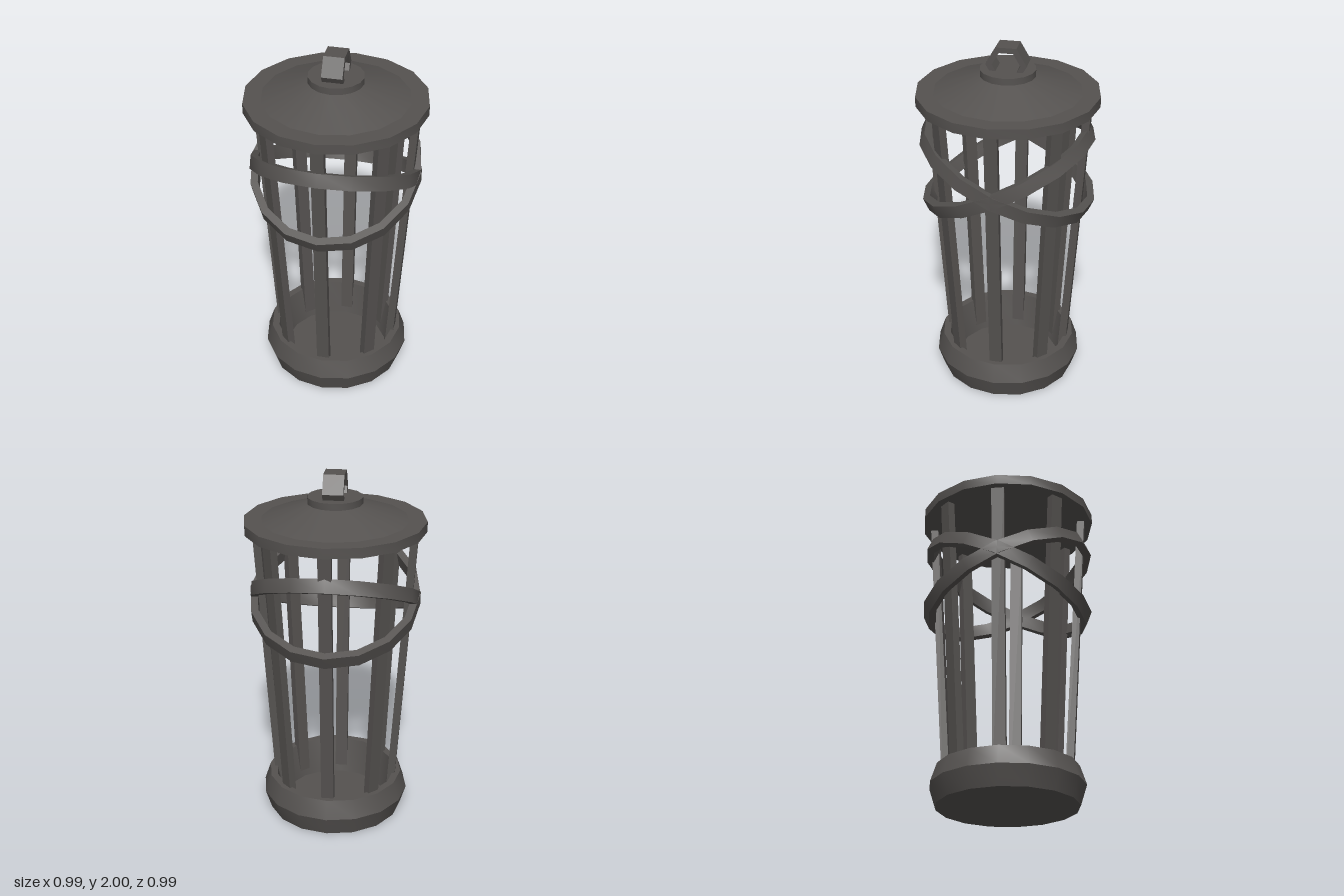
import * as THREE from 'three';
import { toCreasedNormals } from 'three/addons/utils/BufferGeometryUtils.js';

const iron = new THREE.MeshStandardMaterial({ color: 0x555250 });
iron.name = 'dark iron';

// Turned part from [radius, height] pairs, listed up the outside
function turned(name, profile, sides = 16) {
  const points = profile.map(([r, y]) => new THREE.Vector2(r, y));
  const geometry = toCreasedNormals(new THREE.LatheGeometry(points, sides), Math.PI / 6);
  const mesh = new THREE.Mesh(geometry, iron);
  mesh.name = name;
  return mesh;
}

// Closed band with a rectangular section
function band(name, inner, outer, height, sides) {
  const h = height / 2;
  return turned(name, [[inner, -h], [outer, -h], [outer, h], [inner, h], [inner, -h]], sides);
}

export function createModel() {
  const lantern = new THREE.Group();
  lantern.name = 'cageLantern';

  // Hollow base dish
  lantern.add(turned('base', [
    [0, 0], [0.385, 0], [0.42, 0.11], [0.385, 0.215], [0.345, 0.215], [0.3, 0.01], [0, 0.01],
  ]));

  // Roof: flat rim, shallow cone and collar
  lantern.add(
    turned('roofRim', [[0, 1.69], [0.495, 1.69], [0.495, 1.745], [0, 1.745]]),
    turned('roofCone', [[0.4, 1.745], [0.15, 1.833]]),
    turned('roofCollar', [[0.15, 1.82], [0.15, 1.87], [0, 1.87]]),
  );

  // Eight bars leaning outwards
  const bars = new THREE.Group();
  bars.name = 'bars';
  const barGeometry = new THREE.BoxGeometry(0.07, 1.654, 0.042);
  for (let i = 0; i < 8; i++) {
    const pivot = new THREE.Group();
    pivot.name = 'barPivot';
    pivot.rotation.y = (i * Math.PI) / 4;
    const bar = new THREE.Mesh(barGeometry, iron);
    bar.name = 'bar';
    bar.position.set(0, 0.875, 0.377);
    bar.rotation.x = 0.0657;
    pivot.add(bar);
    bars.add(pivot);
  }
  lantern.add(bars);

  // Two crossed oval hoops around the bars
  for (const [name, tilt] of [['hoopFrontHigh', -23.8], ['hoopFrontLow', 26.2]]) {
    const hoop = band(name, 0.43, 0.47, 0.075, 16);
    hoop.position.y = 1.307;
    hoop.scale.z = 1.088;
    hoop.rotation.x = THREE.MathUtils.degToRad(tilt);
    lantern.add(hoop);
  }

  // Six-sided hanging loop
  const loop = band('hangingLoop', 0.076, 0.11, 0.112, 6);
  loop.position.y = 1.905;
  loop.rotation.z = Math.PI / 2;
  lantern.add(loop);

  return lantern;
}
